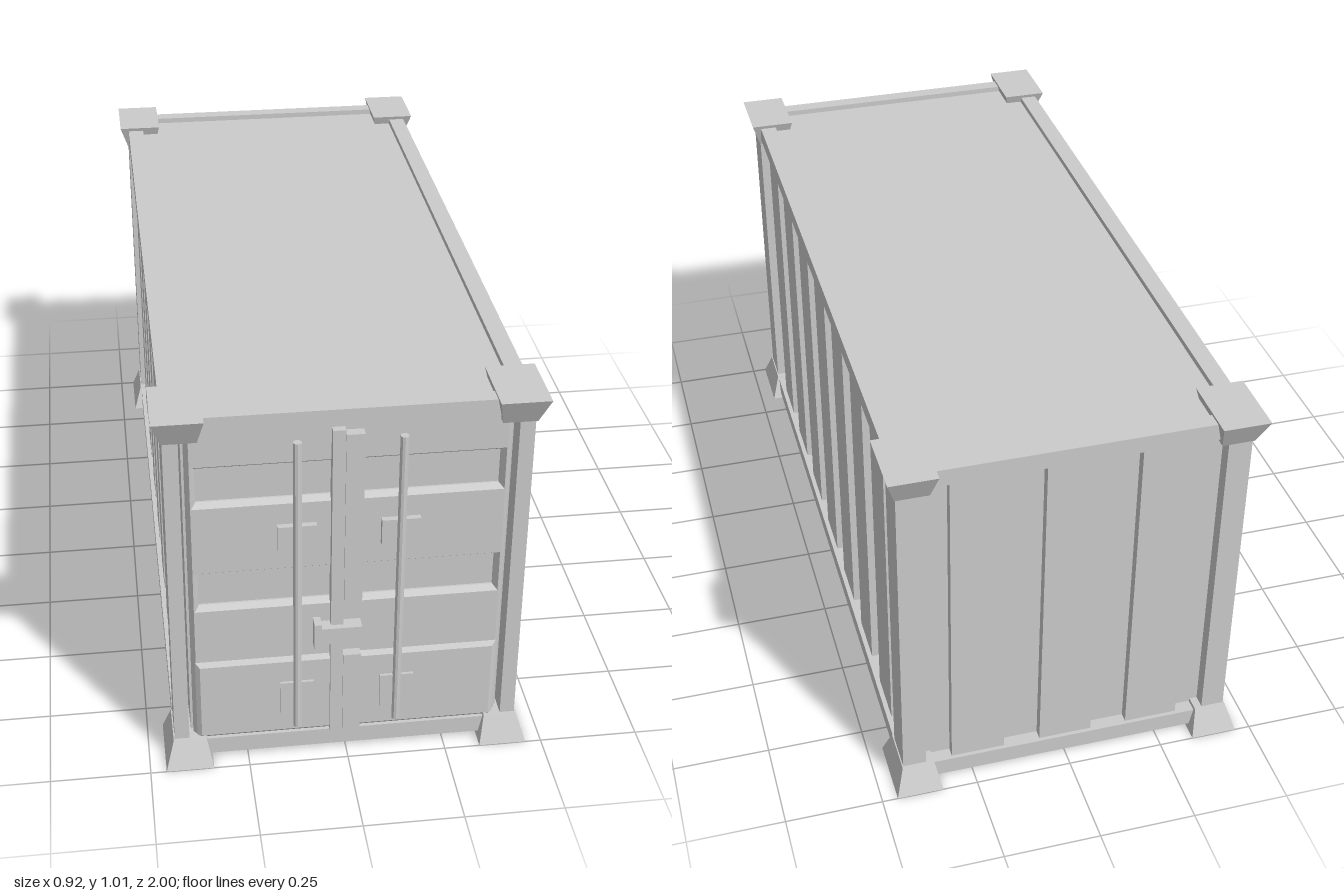
import * as THREE from 'three';

const material = new THREE.MeshStandardMaterial({ color: 0xcccccc, flatShading: true });

export function createModel() {
  const root = new THREE.Group();
  root.name = 'shippingContainer';

  const add = (name, geometry) => {
    const mesh = new THREE.Mesh(geometry, material);
    mesh.name = name;
    root.add(mesh);
    return mesh;
  };

  // Box given by its two extreme corners
  const box = (name, x0, x1, y0, y1, z0, z1) => {
    const mesh = add(name, new THREE.BoxGeometry(x1 - x0, y1 - y0, z1 - z0));
    mesh.position.set((x0 + x1) / 2, (y0 + y1) / 2, (z0 + z1) / 2);
    return mesh;
  };

  // Corner casting: a box whose post-side end narrows towards the post
  const casting = (sx, sz, top) => {
    const wide = { x: [0.34, 0.46], z: [0.82, 1.0] };
    const narrow = { x: [0.355, 0.438], z: [0.845, 0.967] };
    const geometry = new THREE.BoxGeometry(1, 1, 1);
    const p = geometry.attributes.position;
    for (let i = 0; i < p.count; i++) {
      const upper = p.getY(i) > 0;
      const r = upper === top ? wide : narrow;
      const pick = (range, s, v) => s * range[v * s > 0 ? 1 : 0];
      const y = top ? (upper ? 1.01 : 0.94) : (upper ? 0.07 : 0);
      p.setXYZ(i, pick(r.x, sx, p.getX(i)), y, pick(r.z, sz, p.getZ(i)));
    }
    geometry.computeVertexNormals();
    add(top ? 'topCornerCasting' : 'bottomCornerCasting', geometry);
  };

  // Inner body with floor and roof
  box('body', -0.392, 0.392, 0.03, 0.985, -0.925, 0.925);

  // Posts and castings at the four corners
  for (const sx of [-1, 1]) {
    for (const sz of [-1, 1]) {
      const inner = sz > 0 ? 0.398 : 0.375;
      const xs = [sx * inner, sx * 0.435].sort((a, b) => a - b);
      const zs = [sz * 0.86, sz * 0.96].sort((a, b) => a - b);
      box('cornerPost', xs[0], xs[1], 0.05, 0.96, zs[0], zs[1]);
      casting(sx, sz, true);
      casting(sx, sz, false);
    }
  }

  // Rails along the sides and the ends, top and bottom
  for (const [name, y0, y1] of [['topRail', 0.955, 1.0], ['bottomRail', 0.015, 0.062]]) {
    for (const s of [-1, 1]) {
      const cx = s * 0.4125, cz = s * 0.94;
      box(name, cx - 0.0225, cx + 0.0225, y0, y1, -0.86, 0.86);
      box(name, -0.37, 0.37, y0, y1, cz - 0.02, cz + 0.02);
    }
  }

  // Corrugated walls: raised panels at an even pitch
  const pitch = 0.235, half = 0.0695;
  for (let i = -3; i <= 3; i++) {
    const c = i * pitch;
    box('leftWallRidge', 0.38, 0.423, 0.05, 0.96, c - half, c + half);
    box('rightWallRidge', -0.423, -0.38, 0.05, 0.96, c - half, c + half);
  }
  for (let i = -1; i <= 1; i++) {
    const c = i * pitch;
    box('backWallRidge', c - half, c + half, 0.05, 0.96, -0.95, -0.91);
  }

  // Door plate with two bevelled recesses
  const rect = (Type, x, y0, y1) => new Type([
    new THREE.Vector2(-x, y0), new THREE.Vector2(x, y0),
    new THREE.Vector2(x, y1), new THREE.Vector2(-x, y1),
  ]);
  const plate = rect(THREE.Shape, 0.375, 0.07, 0.955);
  plate.holes.push(rect(THREE.Path, 0.373, 0.747, 0.862), rect(THREE.Path, 0.373, 0.45, 0.564));
  const door = add('doors', new THREE.ExtrudeGeometry(plate, {
    depth: 0.005, bevelEnabled: true, bevelSegments: 1, bevelSize: 0.011, bevelThickness: 0.015,
  }));
  door.position.z = 0.93;

  // Raised lower door panel with bevelled edges
  const lower = add('lowerDoorPanel', new THREE.ExtrudeGeometry(rect(THREE.Shape, 0.366, 0.073, 0.286), {
    depth: 0.004, bevelEnabled: true, bevelSegments: 1, bevelSize: 0.011, bevelThickness: 0.01,
  }));
  lower.position.z = 0.946;

  // Locking bars and their plates
  for (const s of [-1, 1]) {
    const bar = add('lockingBar', new THREE.CylinderGeometry(0.0105, 0.0105, 0.835, 10));
    bar.position.set(s * 0.125, 0.5075, 0.968);
    const u = s * 0.125, l = s * 0.125;
    box('upperBarPlate', u - 0.047, u + 0.047, 0.62, 0.69, 0.94, 0.965);
    box('lowerBarPlate', l - 0.042, l + 0.042, 0.13, 0.225, 0.94, 0.967);
  }

  // Centre seam strips and the lock
  box('seamStrip', -0.043, -0.012, 0.065, 0.95, 0.94, 0.97);
  box('upperSeamCover', -0.012, 0.032, 0.44, 0.94, 0.94, 0.975);
  box('lowerSeamCover', -0.012, 0.032, 0.07, 0.305, 0.94, 0.975);
  box('lockArm', -0.067, 0.032, 0.35, 0.397, 0.94, 0.985);
  box('lockHandle', -0.085, -0.067, 0.335, 0.41, 0.95, 0.985);

  return root;
}
